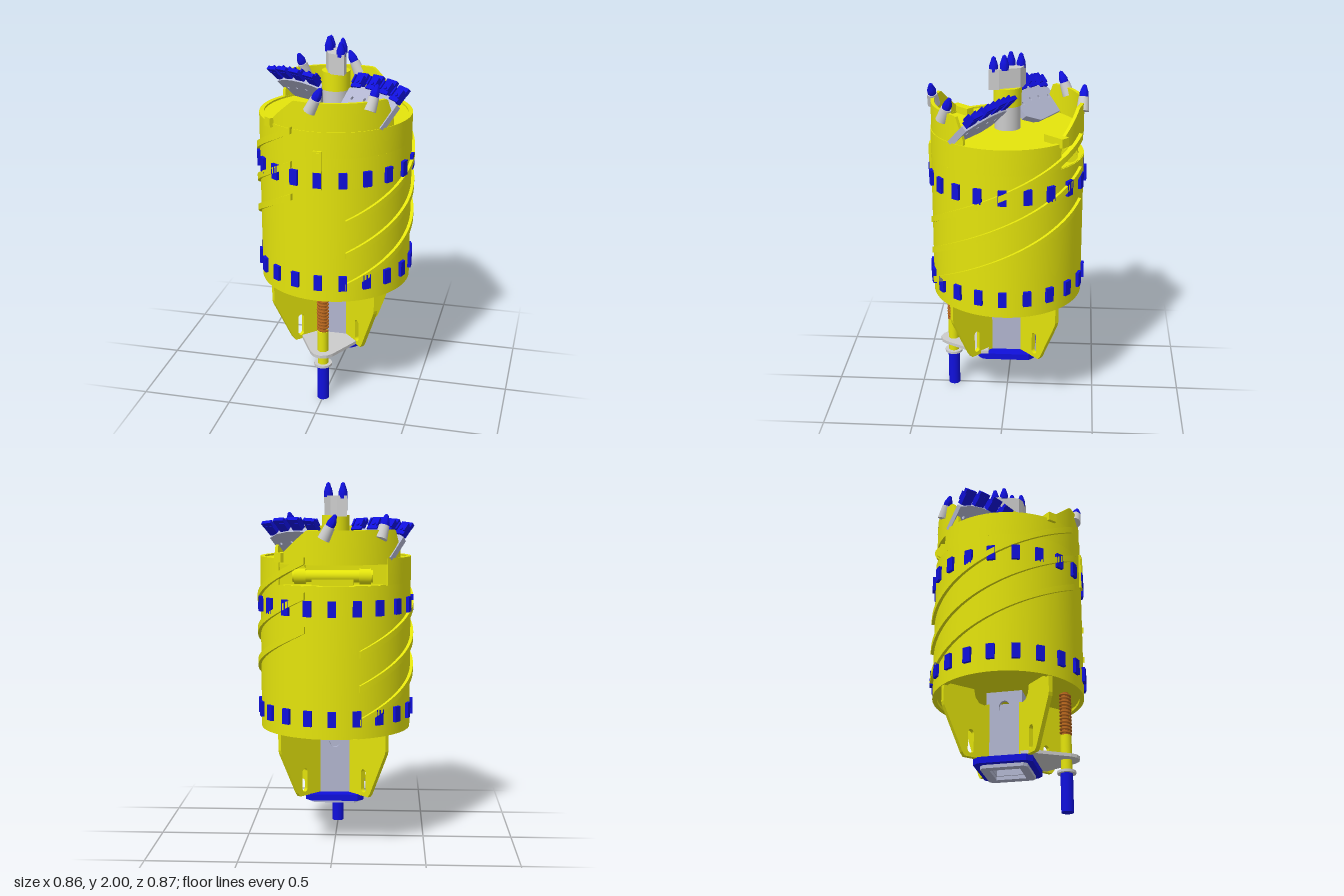
import * as THREE from 'three';
import { toCreasedNormals } from 'three/addons/utils/BufferGeometryUtils.js';

const mat = (color) => new THREE.MeshStandardMaterial({ color });
const yellow = mat(0xe4e40c), blue = mat(0x1010dc), grey = mat(0xcccccc);
const steel = mat(0xb2b6d0), copper = mat(0xb5651d);
const rad = THREE.MathUtils.degToRad;
const V = (x, y, z) => new THREE.Vector3(x, y, z);

function add(parent, name, geo, material, x = 0, y = 0, z = 0) {
  const m = new THREE.Mesh(geo, material);
  m.name = name;
  m.position.set(x, y, z);
  parent.add(m);
  return m;
}
const box = (w, h, d) => new THREE.BoxGeometry(w, h, d);
const cyl = (r, h, n = 32) => new THREE.CylinderGeometry(r, r, h, n);

// Curved block: angles in degrees from +z towards +x; yb and yt give its lower and upper edge
function arcBlock(r0, r1, a0, a1, yb, yt, seg = 2) {
  const g = new THREE.BoxGeometry(1, 1, 1, seg, 1, 1);
  const p = g.attributes.position;
  for (let i = 0; i < p.count; i++) {
    const a = a0 + (p.getX(i) + 0.5) * (a1 - a0);
    const r = p.getZ(i) > 0 ? r1 : r0;
    p.setXYZ(i, r * Math.sin(rad(a)), p.getY(i) > 0 ? yt(a) : yb(a), r * Math.cos(rad(a)));
  }
  return toCreasedNormals(g, 0.6);
}
const flat = (y) => () => y;

function shapeOf(points, holes = []) {
  const s = new THREE.Shape(points.map(([x, y]) => new THREE.Vector2(x, y)));
  for (const [x, y, rx, ry] of holes) {
    s.holes.push(new THREE.Path().absellipse(x, y, rx, ry, 0, Math.PI * 2, true));
  }
  return s;
}
const extrude = (shape, depth) =>
  new THREE.ExtrudeGeometry(shape, { depth, bevelEnabled: false, curveSegments: 16 });

// Horizontal plate from an (x, z) outline, bottom at y = 0
const plate = (shape, h) => extrude(shape, h).rotateX(Math.PI / 2).translate(0, h, 0);

const chamferedSquare = (h, c) => [[h - c, -h], [h, c - h], [h, h - c], [h - c, h],
  [c - h, h], [-h, h - c], [-h, c - h], [c - h, -h]];

// Square frame with chamfered outer corners
function frame(outer, c, inner, h) {
  const s = shapeOf(chamferedSquare(outer, c));
  s.holes.push(new THREE.Path([[-1, -1], [-1, 1], [1, 1], [1, -1]]
    .map(([x, y]) => new THREE.Vector2(x * inner, y * inner))));
  return plate(s, h);
}

function bulletGeo(r, h) {
  const prof = [[0, 0], [r, 0], [r * 1.05, h * 0.35], [r * 0.85, h * 0.55], [r * 0.6, h * 0.75],
    [r * 0.45, h * 0.9], [0, h]].map(([x, y]) => new THREE.Vector2(x, y));
  return toCreasedNormals(new THREE.LatheGeometry(prof, 20), 0.6);
}

function createBody() {
  const g = new THREE.Group();
  g.name = 'body';
  add(g, 'lowerShell', arcBlock(0.39, 0.415, 0, 360, flat(0.65), flat(1.46), 96), yellow);
  add(g, 'upperShell', arcBlock(0.39, 0.415, -136, 136, flat(1.46), flat(1.6), 80), yellow);
  add(g, 'basePlate', cyl(0.4, 0.02, 64), yellow, 0, 0.675, 0);
  add(g, 'drillFloor', cyl(0.405, 0.02, 64), yellow, 0, 1.58, 0);

  // Hinge recess at the back
  add(g, 'recessFloor', cyl(0.41, 0.012, 64), yellow, 0, 1.456, 0);
  add(g, 'recessWall', box(0.57, 0.12, 0.012), yellow, 0, 1.515, -0.286);
  add(g, 'hingePin', cyl(0.032, 0.42).rotateZ(Math.PI / 2), yellow, 0, 1.51, -0.342);
  for (const s of [-1, 1]) {
    add(g, 'hingeKnuckle', cyl(0.042, 0.06).rotateZ(Math.PI / 2), yellow, s * 0.17, 1.51, -0.342);
    add(g, 'hingeLug', box(0.05, 0.06, 0.06), yellow, s * 0.17, 1.55, -0.325);
  }
  add(g, 'hingeBracket', box(0.22, 0.035, 0.07), yellow, 0, 1.477, -0.335);

  // Two rings of wear blocks
  for (const y of [0.76, 1.343]) {
    for (let i = 0; i < 20; i++) {
      add(g, 'wearBlock', arcBlock(0.4, 0.432, i * 18 - 3, i * 18 + 3, flat(y - 0.042), flat(y + 0.042)), blue);
    }
  }
  // Spiral strips on both sides
  for (const side of [0, 180]) {
    for (const y0 of [0.722, 0.902, 1.085]) {
      const rise = (a) => y0 + (a - side - 20) / 140 * 0.49;
      add(g, 'spiralStrip', arcBlock(0.405, 0.432, 20 + side, 160 + side, rise, (a) => rise(a) + 0.036, 48), yellow);
    }
  }
  add(g, 'latchBar', box(0.045, 0.21, 0.03), yellow, 0, 1.395, 0.412);
  add(g, 'latchCap', box(0.03, 0.1, 0.03), yellow, 0, 1.44, 0.415);
  return g;
}

function createCoupling() {
  const g = new THREE.Group();
  g.name = 'coupling';
  // Hollow square socket with a cross hole in each wall
  const wall = extrude(shapeOf([[-0.098, 0.25], [0.098, 0.25], [0.098, 0.67], [-0.098, 0.67]],
    [[0, 0.575, 0.03, 0.037]]), 0.018);
  wall.translate(0, 0, 0.08);
  // Diagonal fin with pin slot and a scallop beside the socket
  const fin = shapeOf([[0.12, 0.28], [0.275, 0.28], [0.29, 0.3], [0.405, 0.54], [0.41, 0.56], [0.41, 0.67],
    [0.225, 0.67], [0.215, 0.62], [0.19, 0.59], [0.16, 0.585], [0.12, 0.6]]);
  const slot = new THREE.Path();
  slot.absarc(0.24, 0.415, 0.018, 0, Math.PI);
  slot.absarc(0.24, 0.32, 0.018, Math.PI, Math.PI * 2);
  fin.holes.push(slot);
  const finGeo = extrude(fin, 0.024).translate(0, 0, -0.012);
  for (let i = 0; i < 4; i++) {
    add(g, 'socketWall', wall, steel).rotation.y = i * Math.PI / 2;
    add(g, 'fin', finGeo, yellow).rotation.y = Math.PI / 4 + i * Math.PI / 2;
  }
  add(g, 'socketFlange', frame(0.16, 0.03, 0.09, 0.035), blue, 0, 0.247, 0);
  add(g, 'socketLip', frame(0.128, 0.02, 0.082, 0.02), steel, 0, 0.228, 0);

  // Spring-loaded release rod
  const z = 0.315;
  const arm = shapeOf([[-0.16, 0.1], [0.16, 0.1], [0.16, 0.17], [0.062, 0.35], [0.036, 0.377], [0, 0.388],
    [-0.036, 0.377], [-0.062, 0.35], [-0.16, 0.17]]);
  add(g, 'rodArm', plate(arm, 0.018), grey, 0, 0.282, 0);
  add(g, 'rodTip', cyl(0.033, 0.21), blue, 0, 0.105, z);
  add(g, 'rodWasher', cyl(0.05, 0.014), grey, 0, 0.215, z);
  add(g, 'rodSleeve', cyl(0.03, 0.2), yellow, 0, 0.32, z);
  add(g, 'rodCore', cyl(0.02, 0.26), copper, 0, 0.54, z);
  const coil = [];
  for (let i = 0; i <= 168; i++) {
    const a = i * Math.PI / 7;
    coil.push(V(0.028 * Math.cos(a), 0.425 + 0.235 * i / 168, z + 0.028 * Math.sin(a)));
  }
  add(g, 'spring', new THREE.TubeGeometry(new THREE.CatmullRomCurve3(coil), 336, 0.006, 6), copper);
  return g;
}

// Round holder with a pointed pick, leaning from base to tip
function createPick(base, tip) {
  const g = new THREE.Group();
  g.name = 'rimPick';
  g.position.copy(base);
  const dir = tip.clone().sub(base);
  const len = dir.length();
  g.quaternion.setFromUnitVectors(V(0, 1, 0), dir.normalize());
  add(g, 'pickHolder', new THREE.CylinderGeometry(0.028, 0.034, 0.075, 24), grey, 0, 0.04, 0);
  add(g, 'pickTip', bulletGeo(0.023, len - 0.075), blue, 0, 0.075, 0);
  return g;
}

// One half of the cutting face; the other is the same turned by 180 degrees
function createCuttingHalf() {
  const g = new THREE.Group();
  g.name = 'cuttingHalf';
  const top = (a) => 1.63 + 0.12 * Math.min(1, Math.max(0, (a + 40) / 21), Math.max(0, (60 - a) / 7));
  add(g, 'rimWall', arcBlock(0.392, 0.411, -40, 60, flat(1.57), top, 60), yellow);
  g.add(createPick(V(-0.045, 1.7, 0.402), V(0.02, 1.832, 0.41)));
  g.add(createPick(V(0.25, 1.7, 0.325), V(0.282, 1.832, 0.275)));
  add(g, 'floorLug', box(0.05, 0.05, 0.13), yellow, -0.25, 1.605, 0.27).rotation.y = -0.72;

  // Sloping blade carrying four teeth
  const blade = new THREE.Group();
  blade.name = 'blade';
  const d = V(0.872, 0, 0.49), up = V(0.49, 1, -0.872).normalize();
  blade.quaternion.setFromRotationMatrix(
    new THREE.Matrix4().makeBasis(d, up, new THREE.Vector3().crossVectors(d, up)));
  blade.position.y = 1.71;
  g.add(blade);
  const outline = [[0.173, -0.15], [0.405, -0.15], [0.425, 0.0], [0.36, 0.035], [0.28, 0.055],
    [0.2, 0.06], [0.13, 0.05], [0.075, 0.03], [0.08, -0.095]];
  const holes = [[0.37, -0.044], [0.29, -0.027], [0.213, -0.017], [0.13, -0.025]]
    .map(([x, y]) => [x, y, 0.008, 0.01]);
  add(blade, 'bladePlate', extrude(shapeOf(outline, holes), 0.035), steel, 0, 0, -0.035);
  [[0.113, 0.085, 0.08], [0.213, 0.092, 0], [0.308, 0.084, -0.08], [0.398, 0.06, -0.16]].forEach(([x, y, turn]) => {
    const t = new THREE.Group();
    t.name = 'tooth';
    t.position.set(x, y, -0.008);
    t.rotation.z = turn;
    add(t, 'toothBody', box(0.062, 0.07, 0.036), blue, 0, -0.01, 0);
    add(t, 'toothEdge', box(0.07, 0.03, 0.022), blue, 0, 0.035, -0.005);
    add(t, 'toothBolt', cyl(0.01, 0.008, 12).rotateX(Math.PI / 2), blue, 0, -0.01, 0.02);
    for (const s of [-1, 1]) add(t, 'toothRib', box(0.01, 0.05, 0.012), blue, s * 0.026, 0, 0.022);
    blade.add(t);
  });
  return g;
}

function createPilot() {
  const g = new THREE.Group();
  g.name = 'pilot';
  add(g, 'pilotBase', cyl(0.07, 0.14), grey, 0, 1.655, 0);
  add(g, 'pilotCollar', cyl(0.076, 0.1), yellow, 0, 1.77, 0);
  const head = shapeOf([[-0.065, -0.095], [-0.01, -0.085], [0.025, -0.07], [0.065, 0.04],
    [0.065, 0.095], [0.01, 0.085], [-0.025, 0.07], [-0.065, -0.04]]);
  add(g, 'pilotHead', plate(head, 0.11), grey, 0, 1.815, 0);
  for (const [x, z] of [[-0.043, -0.07], [-0.041, -0.016], [0.041, 0.014], [0.043, 0.07]]) {
    add(g, 'pilotTooth', bulletGeo(0.023, 0.082), blue, x, Math.abs(z) < 0.03 ? 1.918 : 1.91, z);
  }
  return g;
}

export function createModel() {
  const model = new THREE.Group();
  model.name = 'drillingBucket';
  const half = createCuttingHalf(), other = createCuttingHalf();
  other.rotation.y = Math.PI;
  model.add(createBody(), createCoupling(), half, other, createPilot());
  return model;
}
